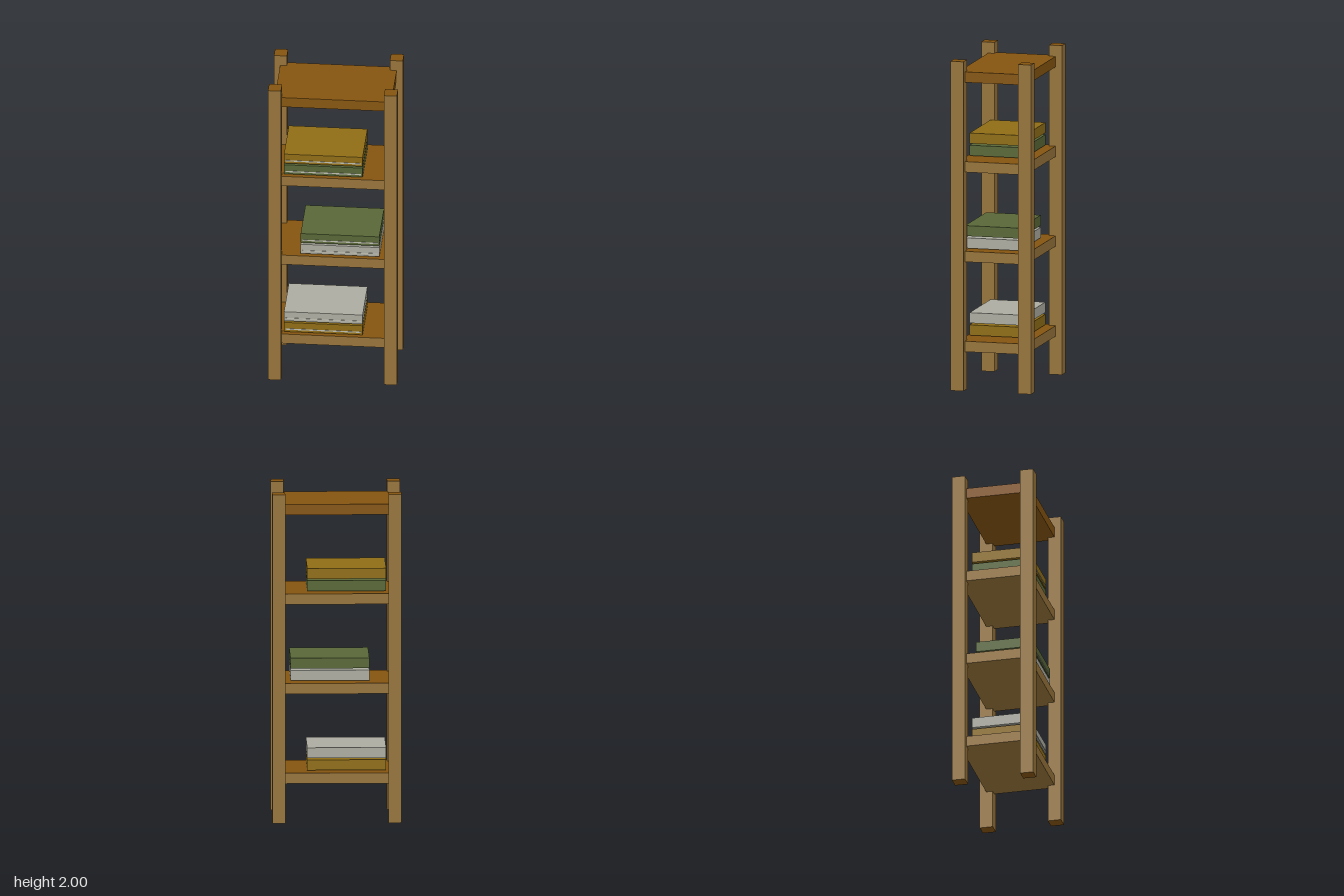
import * as THREE from 'three';

const mat = (color) => new THREE.MeshStandardMaterial({ color });

export function createModel() {
  const model = new THREE.Group();
  model.name = 'bookShelf';

  const tan = mat(0x97743b);
  const brown = mat(0x855510);
  const gold = mat(0x8f6d15);
  const green = mat(0x586737);
  const grey = mat(0xacaca1);
  const paper = mat(0xbdbdb0);

  // Box given by its limits on each axis
  function box(name, [x0, x1], [y0, y1], [z0, z1], material, parent = model) {
    const mesh = new THREE.Mesh(new THREE.BoxGeometry(x1 - x0, y1 - y0, z1 - z0), material);
    mesh.position.set((x0 + x1) / 2, (y0 + y1) / 2, (z0 + z1) / 2);
    mesh.name = name;
    parent.add(mesh);
    return mesh;
  }

  // Corner posts: light sides, dark end grain
  const postFaces = [tan, tan, brown, brown, tan, tan];
  for (const sx of [-1, 1]) {
    for (const sz of [-1, 1]) {
      const name = (sz > 0 ? 'front' : 'back') + (sx > 0 ? 'Left' : 'Right') + 'Post';
      const post = box(name, [-0.039, 0.039], [0, 2], [-0.04, 0.04], postFaces);
      post.position.x = sx * 0.348;
      post.position.z = sz * 0.21;
    }
  }

  // Shelves: dark upper faces, light edges; the top board is dark all over
  const shelfFaces = [tan, tan, brown, tan, tan, tan];
  [0.233, 0.779, 1.324, 1.869].forEach((y, i) => {
    box(i === 3 ? 'topBoard' : 'shelf' + (i + 1), [-0.35, 0.35], [y, y + 0.064], [-0.21, 0.21],
      i === 3 ? brown : shelfFaces);
  });

  // Pairs of books lying flat, each with a thin strip of pages on the front
  function book(name, x0, y0, cover) {
    const group = new THREE.Group();
    group.name = name;
    box('cover', [x0, x0 + 0.472], [y0, y0 + 0.063], [-0.15, 0.19], cover, group);
    box('pages', [x0 + 0.01, x0 + 0.462], [y0 + 0.014, y0 + 0.022], [0.18, 0.192], paper, group);
    model.add(group);
  }
  const stacks = [
    [-0.296, 0.303, gold, grey],
    [-0.196, 0.849, grey, green],
    [-0.296, 1.394, green, gold],
  ];
  stacks.forEach(([x, y, lower, upper], i) => {
    book('lowerBook' + (i + 1), x, y, lower);
    book('upperBook' + (i + 1), x, y + 0.074, upper);
  });

  return model;
}
